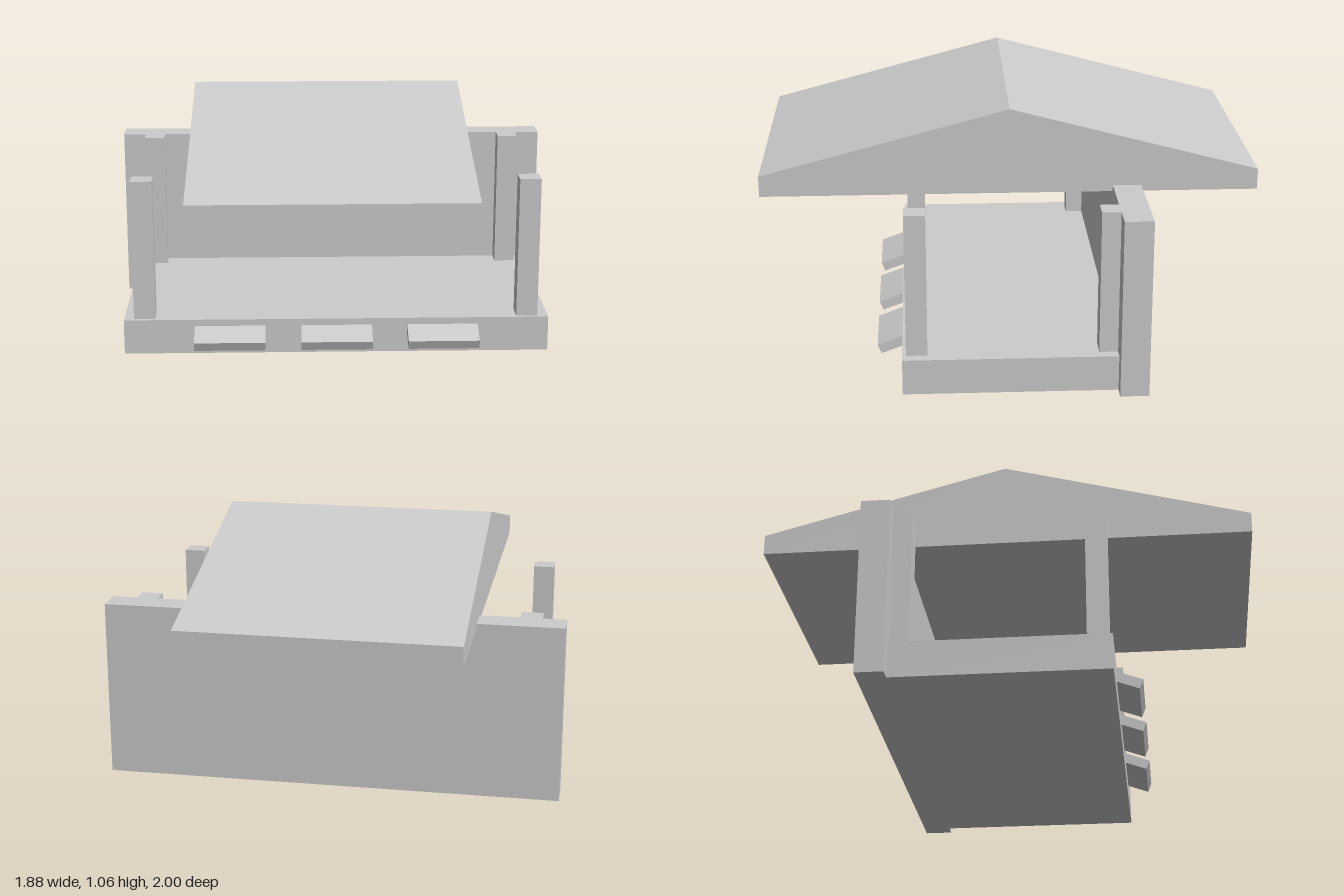
import * as THREE from 'three';

export function createModel() {
  const model = new THREE.Group();
  const lightGrey = new THREE.MeshStandardMaterial({ color: 0xcccccc });
  lightGrey.name = 'lightGrey';

  const add = (name, geometry) => {
    const mesh = new THREE.Mesh(geometry, lightGrey);
    mesh.name = name;
    model.add(mesh);
  };

  // Box given by its lower and upper limits on each axis
  const box = (name, x0, x1, y0, y1, z0, z1) => add(name,
    new THREE.BoxGeometry(x1 - x0, y1 - y0, z1 - z0)
      .translate((x0 + x1) / 2, (y0 + y1) / 2, (z0 + z1) / 2));

  // Side profile of [z, y] points, swept from x0 to x1
  const sweep = (name, points, x0, x1) => {
    const shape = new THREE.Shape(points.map(([z, y]) => new THREE.Vector2(z, y)));
    add(name, new THREE.ExtrudeGeometry(shape, { depth: x1 - x0, bevelEnabled: false })
      .rotateY(-Math.PI / 2).translate(x1, 0, 0));
  };

  // Floor slab and back wall
  box('floor', -0.883, 0.88, 0, 0.146, -0.415, 0.44);
  box('backWall', -0.94, 0.94, 0, 0.735, -0.53, -0.415);

  // Four corner posts
  for (const [side, x] of [['right', -0.842], ['left', 0.748]]) {
    box(side + 'FrontPost', x, x + 0.088, 0.146, 0.735, 0.34, 0.425);
    box(side + 'BackPost', x, x + 0.088, 0.146, 0.735, -0.425, -0.34);
  }

  // Gabled roof
  sweep('roof', [[-1, 0.71], [1, 0.71], [1, 0.795], [0, 1.06], [-1, 0.795]], -0.59, 0.525);

  // Tilted ledges along the front of the floor
  const ledge = [[0.435, 0.076], [0.528, 0.042], [0.543, 0.08], [0.435, 0.12]];
  for (const x of [-0.59, -0.148, 0.292]) sweep('frontLedge', ledge, x, x + 0.293);

  return model;
}
